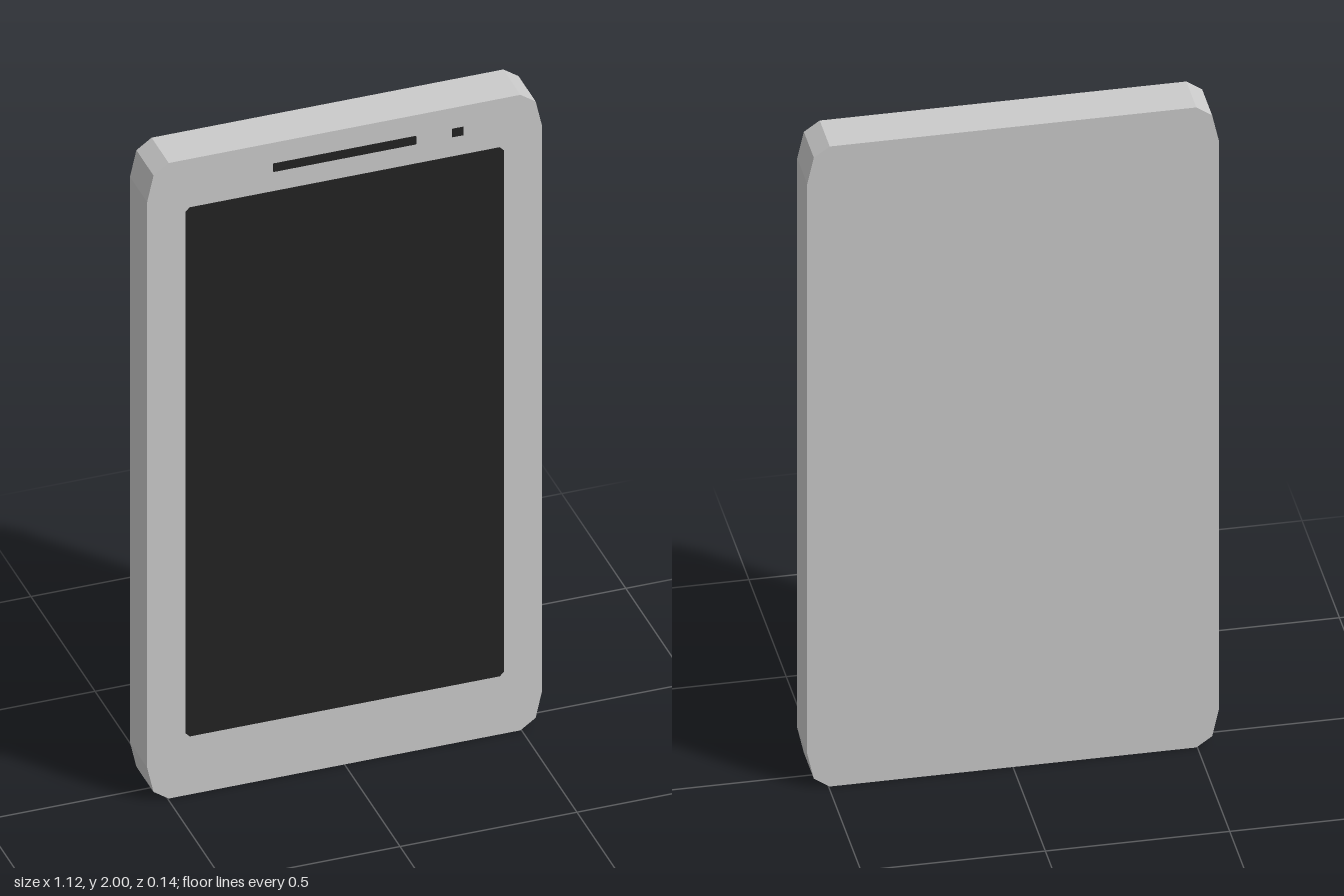
import * as THREE from 'three';

const mat = (name, color) => {
  const m = new THREE.MeshStandardMaterial({ color });
  m.name = name;
  return m;
};

// Rectangle outline with clipped corners; cuts lists [inset x, inset y] from side to end
function clippedRect(halfW, halfH, cuts) {
  const quarter = cuts.map(([dx, dy]) => [halfW - dx, halfH - dy]);
  const back = [...quarter].reverse();
  const pts = [
    ...quarter,
    ...back.map(([x, y]) => [-x, y]),
    ...quarter.map(([x, y]) => [-x, -y]),
    ...back.map(([x, y]) => [x, -y]),
  ];
  return new THREE.Shape(pts.map(([x, y]) => new THREE.Vector2(x, y)));
}

export function createModel() {
  const group = new THREE.Group();
  group.name = 'phone';
  const casing = mat('light grey casing', 0xcacaca);
  const glass = mat('black glass', 0x222222);
  const front = 0.067;

  const add = (name, shape, depth, material, x, y, z) => {
    const geo = new THREE.ExtrudeGeometry(shape, { depth, bevelEnabled: false });
    const mesh = new THREE.Mesh(geo, material);
    mesh.name = name;
    mesh.position.set(x, y, z);
    group.add(mesh);
  };

  // Slab with two-step faceted corners
  add('body', clippedRect(0.558, 1, [[0, 0.11], [0.018, 0.03], [0.061, 0]]),
    front * 2, casing, 0, 1, -front);

  // Thin dark details on the front face
  const plate = (name, w, h, cut, x, y) =>
    add(name, clippedRect(w / 2, h / 2, [[0, cut], [cut, 0]]), 0.003, glass, x, y, front - 0.001);
  plate('screen', 0.9, 1.664, 0.012, 0, 1.016);
  plate('earpiece', 0.404, 0.026, 0.001, 0, 1.922);
  plate('frontCamera', 0.032, 0.026, 0.001, 0.32, 1.922);

  return group;
}
